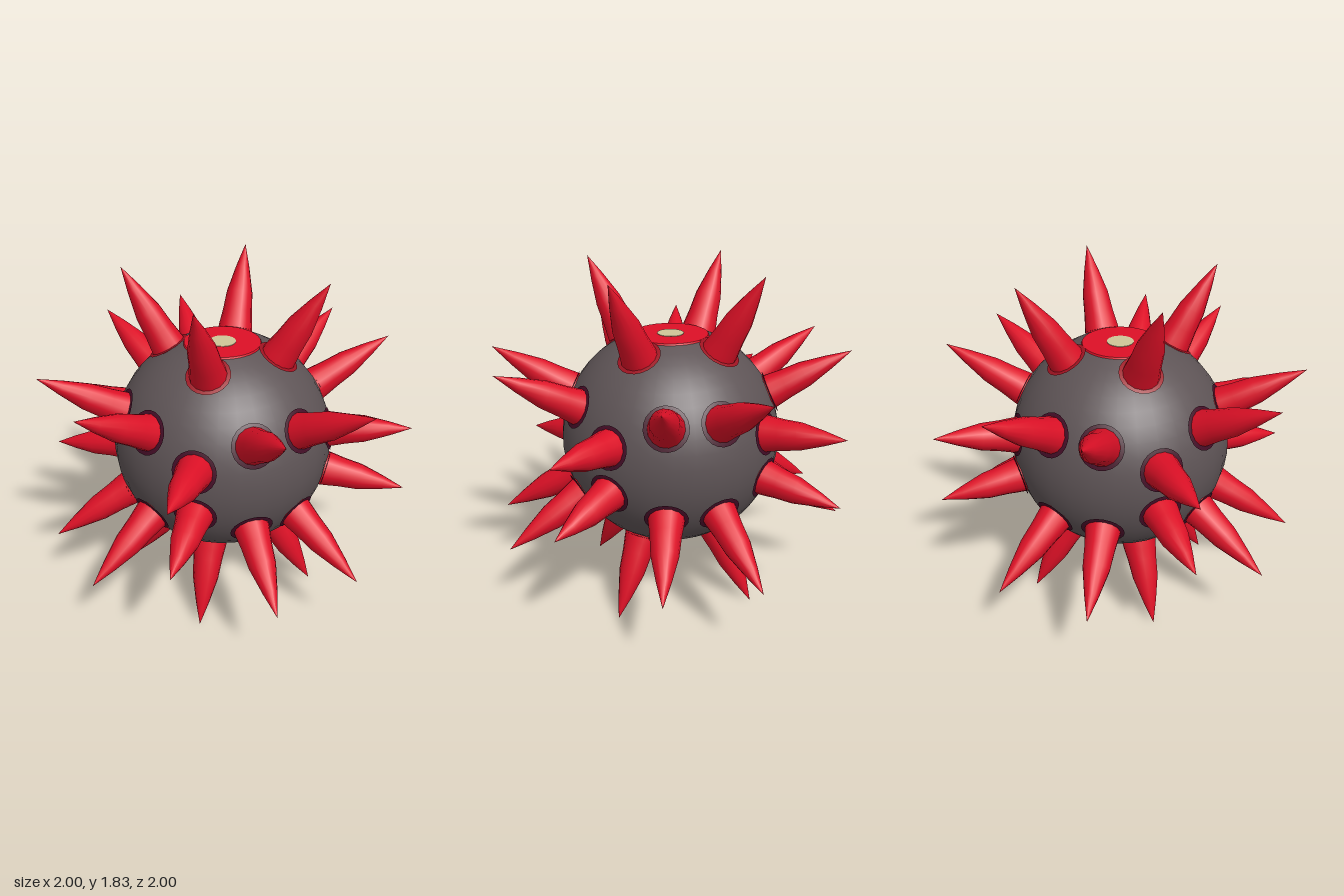
import * as THREE from 'three';

const R = 0.59, CY = 0.915, TOP = 0.557;
const mat = (name, color) => Object.assign(new THREE.MeshStandardMaterial({ color }), { name });

export function createModel() {
  const red = mat('spike red', 0xdd1026);
  const grey = mat('shell grey', 0x5e5456);
  const plum = mat('collar plum', 0x430d26);
  const maroon = mat('collar maroon', 0x9c1220);
  const cream = mat('cap cream', 0xcfc598);

  const model = new THREE.Group();
  model.name = 'spikedBall';
  const add = (name, geometry, material, parent = model) => {
    const mesh = new THREE.Mesh(geometry, material);
    mesh.name = name;
    parent.add(mesh);
    return mesh;
  };

  // Shell: a sphere with flattened poles
  const rim = Math.acos(TOP / R);
  const profile = [new THREE.Vector2(0, -0.575)];
  for (let i = 0; i <= 20; i++) {
    const a = Math.PI - 0.23 - (i / 20) * (Math.PI - 0.23 - rim);
    profile.push(new THREE.Vector2(R * Math.sin(a), R * Math.cos(a)));
  }
  add('shell', new THREE.LatheGeometry(profile, 32), grey).position.y = CY;

  // Flat cap and its centre button
  add('cap', new THREE.CylinderGeometry(0.198, 0.202, 0.009, 32), red).position.y = CY + TOP + 0.002;
  add('capButton', new THREE.CylinderGeometry(0.07, 0.07, 0.006, 20), cream).position.y = CY + TOP + 0.006;

  // Spike: flared root, tapering shaft, long point (unit length)
  const spikeGeo = new THREE.LatheGeometry(
    [[0.096, 0], [0.09, 0.1], [0.08, 0.24], [0.07, 0.46], [0.037, 0.74], [0, 1]]
      .map(([x, y]) => new THREE.Vector2(x, y)), 14);
  // Collar: a thin spherical patch hugging the shell
  const collarGeo = new THREE.SphereGeometry(R + 0.007, 20, 4, 0, Math.PI * 2, 0, 0.19);
  const up = new THREE.Vector3(0, 1, 0);

  // Points are given relative to the shell centre
  function addSpike(name, angle, root, tip, collarMat) {
    const at = ([r, y]) => new THREE.Vector3(r * Math.cos(angle), y, r * Math.sin(angle));
    const a = at(root), b = at(tip);
    const group = new THREE.Group();
    group.name = name;
    group.position.y = CY;
    model.add(group);
    const collar = add('collar', collarGeo, collarMat, group);
    collar.quaternion.setFromUnitVectors(up, a.clone().normalize());
    const spike = add('spike', spikeGeo, red, group);
    const dir = b.clone().sub(a);
    spike.position.copy(a);
    spike.scale.y = dir.length();
    spike.quaternion.setFromUnitVectors(up, dir.normalize());
  }

  // Rings mirrored above and below the equator
  for (const s of [1, -1]) {
    for (let i = 0; i < 12; i++) {
      const angle = i * Math.PI / 6;
      if (i % 3 === 0) {
        addSpike('polarSpike', angle, [0.285, s * 0.495], [0.53, s * 0.915], maroon);
        addSpike('equatorSpike', angle, [0.56, s * 0.122], [1, s * 0.185], plum);
      } else {
        addSpike('middleSpike', angle, [0.51, s * 0.235], [0.95, s * 0.48], plum);
      }
    }
  }
  return model;
}
